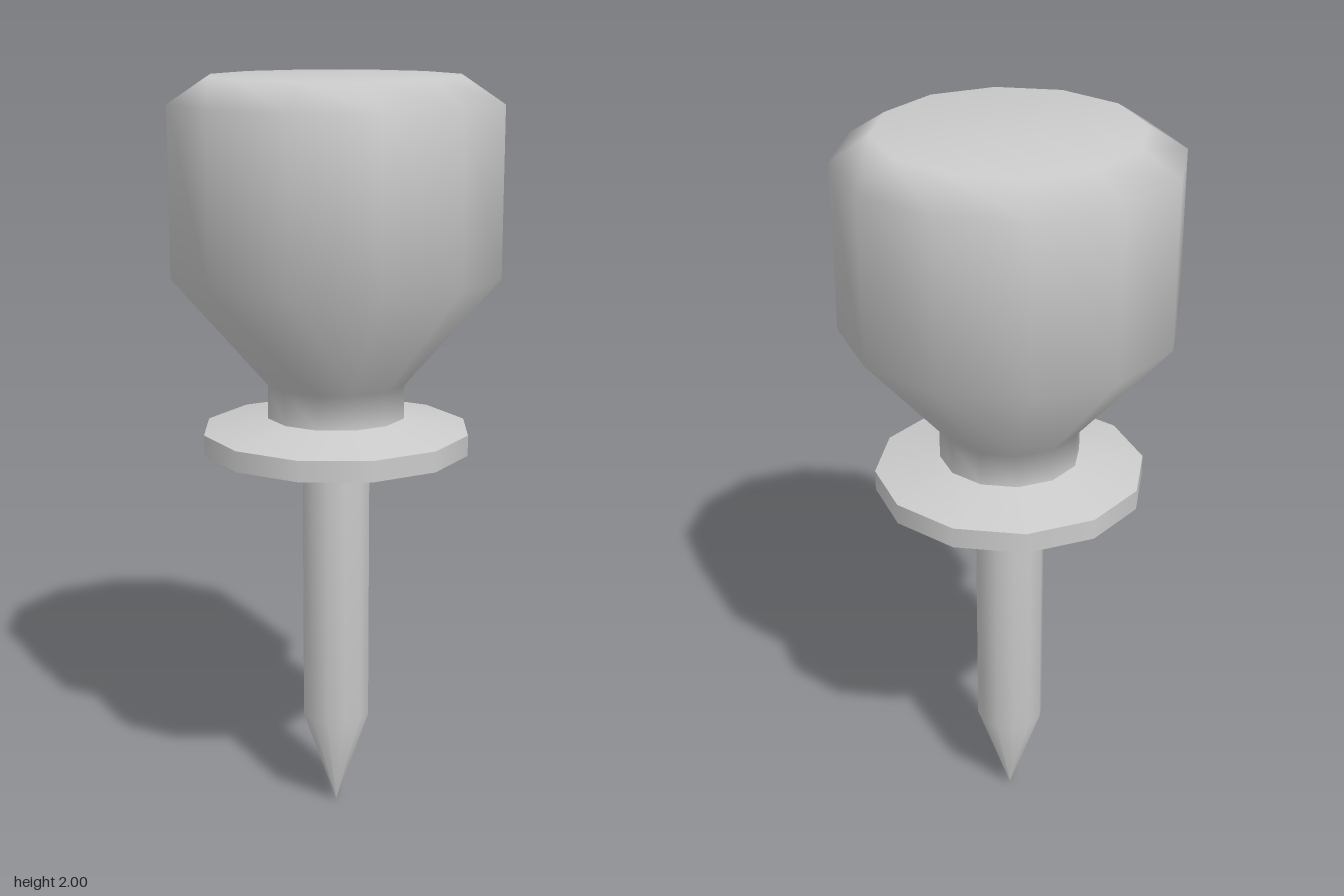
import * as THREE from 'three';

const SIDES = 12;

export function createModel() {
  const model = new THREE.Group();
  const material = new THREE.MeshStandardMaterial({ color: 0xcccccc });

  // Turns a bottom-to-top [radius, height] profile into a smooth 12-sided part
  const turn = (name, profile, parent = model) => {
    const points = profile.map(([r, y]) => new THREE.Vector2(r, y));
    const mesh = new THREE.Mesh(new THREE.LatheGeometry(points, SIDES), material);
    mesh.name = name;
    parent.add(mesh);
  };

  // Grip with its narrow neck and chamfered top
  turn('grip', [[0.185, 1.12], [0.185, 1.21], [0.435, 1.5], [0.435, 1.935], [0.335, 2], [0, 2]]);

  // Collar, in separate pieces so its edges stay sharp
  const collar = new THREE.Group();
  collar.name = 'collar';
  model.add(collar);
  turn('collarBottom', [[0, 1.03], [0.357, 1.03]], collar);
  turn('collarRim', [[0.357, 1.03], [0.357, 1.085]], collar);
  turn('collarTop', [[0.357, 1.085], [0.185, 1.12]], collar);

  // Pin with a pointed tip, and its flat upper end
  turn('pin', [[0, 0], [0.092, 0.27], [0.092, 1.018]]);
  turn('pinEnd', [[0.092, 1.018], [0, 1.018]]);

  return model;
}
